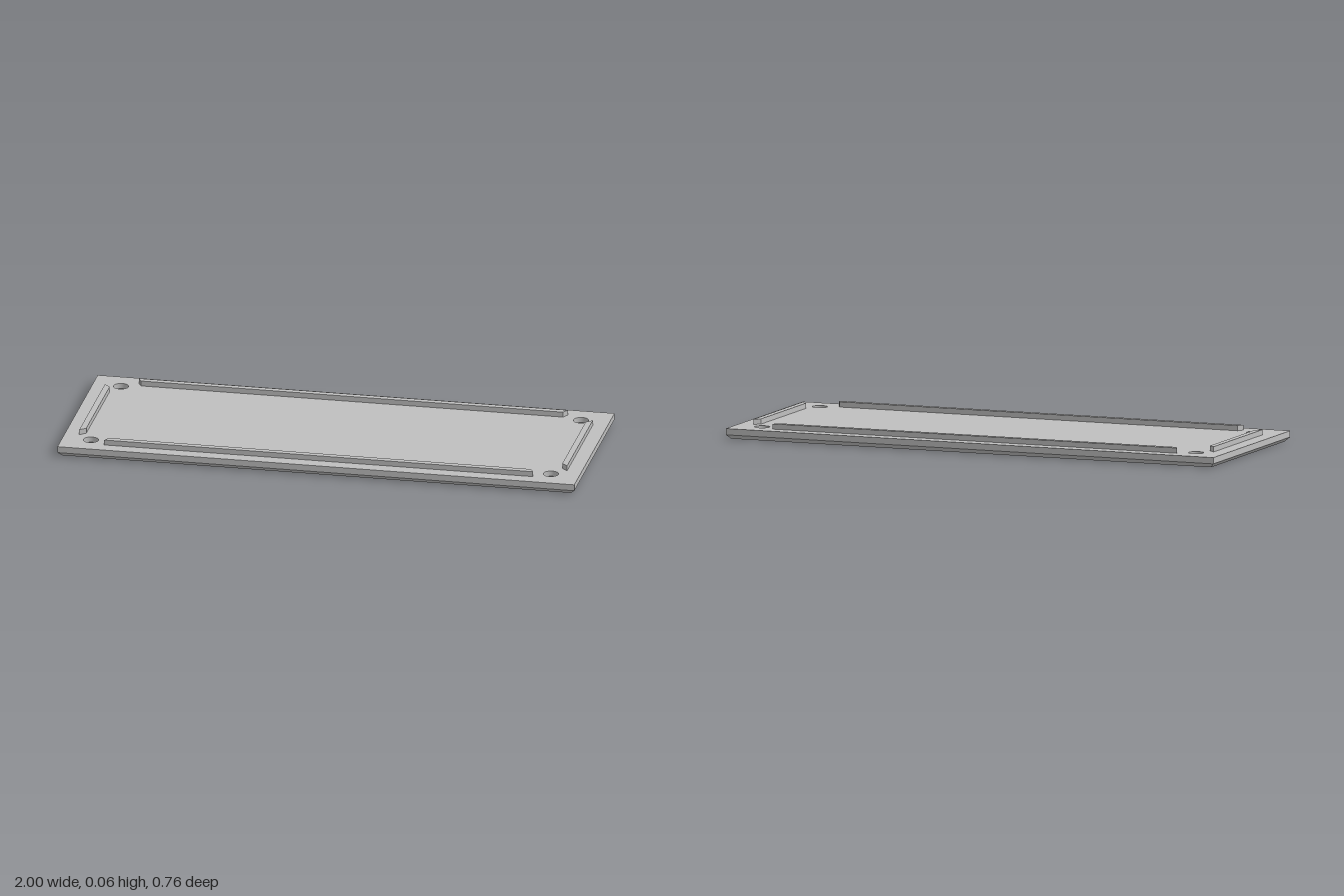
import * as THREE from 'three';

const W = 1, D = 0.382;                     // half width and half depth of the plate
const TOP = 0.04, CHAMFER = 0.016, RAIL = 0.02;
const HOLE_R = 0.029, SINK_R = 0.048, SINK_H = 0.019;
const HOLES = [[1, 1], [-1, 1], [-1, -1], [1, -1]].map(([sx, sz]) => [sx * 0.89, sz * 0.286]);

// Flat rectangle with four round holes
function face(hw, hd, r) {
  const shape = new THREE.Shape([
    new THREE.Vector2(-hw, -hd), new THREE.Vector2(hw, -hd),
    new THREE.Vector2(hw, hd), new THREE.Vector2(-hw, hd)]);
  for (const [x, z] of HOLES) {
    const hole = new THREE.Path();
    hole.absarc(x, z, r, 0, Math.PI * 2, true);
    shape.holes.push(hole);
  }
  return new THREE.ShapeGeometry(shape, 16);
}

// Four flat walls joining a lower rectangle to an upper one
function walls(w0, d0, y0, w1, d1, y1) {
  const corner = (w, d, y, i) => [[w, y, d], [w, y, -d], [-w, y, -d], [-w, y, d]][i % 4];
  const p = [];
  for (let i = 0; i < 4; i++) {
    const a = corner(w0, d0, y0, i), b = corner(w0, d0, y0, i + 1);
    const c = corner(w1, d1, y1, i + 1), d = corner(w1, d1, y1, i);
    p.push(...a, ...b, ...c, ...a, ...c, ...d);
  }
  const g = new THREE.BufferGeometry();
  g.setAttribute('position', new THREE.Float32BufferAttribute(p, 3));
  g.computeVertexNormals();
  return g;
}

// Upright bar with mitred ends, long side outward (towards +z)
function rail(outer, inner, zIn, zOut) {
  const shape = new THREE.Shape([
    new THREE.Vector2(-outer, -zOut), new THREE.Vector2(outer, -zOut),
    new THREE.Vector2(inner, -zIn), new THREE.Vector2(-inner, -zIn)]);
  return new THREE.ExtrudeGeometry(shape, { depth: RAIL, bevelEnabled: false }).rotateX(-Math.PI / 2);
}

export function createModel() {
  const group = new THREE.Group();
  const grey = new THREE.MeshStandardMaterial({ color: 0xbfbfbf });
  grey.name = 'plainGrey';
  const add = (name, geometry, x = 0, y = 0, z = 0) => {
    const mesh = new THREE.Mesh(geometry, grey);
    mesh.name = name;
    mesh.position.set(x, y, z);
    group.add(mesh);
    return mesh;
  };

  // Plate with a chamfered lower edge
  add('plateTop', face(W, D, HOLE_R).rotateX(-Math.PI / 2), 0, TOP);
  add('plateBottom', face(W - CHAMFER, D - CHAMFER, SINK_R).rotateX(Math.PI / 2));
  add('plateEdge', walls(W, D, CHAMFER, W, D, TOP));
  add('plateChamfer', walls(W - CHAMFER, D - CHAMFER, 0, W, D, CHAMFER));

  // Countersunk screw holes, walls facing inward
  const bore = new THREE.LatheGeometry(
    [new THREE.Vector2(HOLE_R, TOP), new THREE.Vector2(HOLE_R, SINK_H)], 32);
  const sink = new THREE.LatheGeometry(
    [new THREE.Vector2(HOLE_R, SINK_H), new THREE.Vector2(SINK_R, 0)], 32);
  for (const [x, z] of HOLES) {
    add('screwHole', bore, x, 0, z);
    add('countersink', sink, x, 0, z);
  }

  // Locating rails along the four sides
  const longRail = rail(0.83, 0.816, 0.304, 0.329);
  const shortRail = rail(0.243, 0.222, 0.921, 0.944);
  add('frontRail', longRail, 0, TOP);
  add('backRail', longRail, 0, TOP).rotation.y = Math.PI;
  add('leftRail', shortRail, 0, TOP).rotation.y = Math.PI / 2;
  add('rightRail', shortRail, 0, TOP).rotation.y = -Math.PI / 2;

  return group;
}
